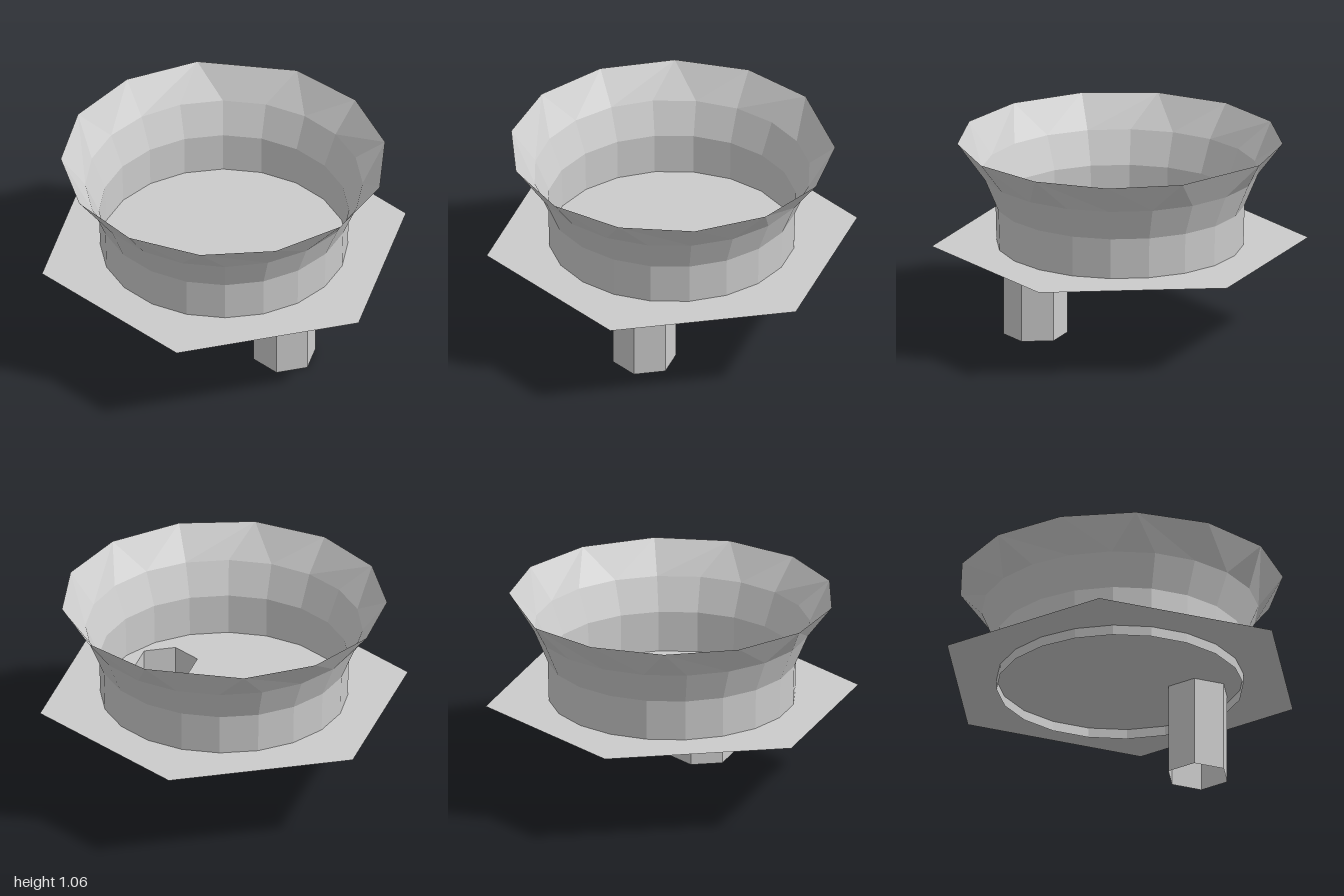
import * as THREE from 'three';

const STEP = Math.PI / 20; // 9 degrees, shared angular unit of all rings

// Regular hexagon outline with points along the second axis
function hexagon(radius, cy, Target) {
  const pts = [];
  for (let i = 0; i < 6; i++) {
    const a = (i * Math.PI) / 3;
    pts.push(new THREE.Vector2(radius * Math.sin(a), cy + radius * Math.cos(a)));
  }
  return new Target(pts);
}

// Band joining two rings with different vertex counts; each list of angle
// steps runs once round and repeats its first vertex at the end
function zipBand(lower, upper) {
  const at = (ring, i) => {
    const a = ring.steps[i] * STEP;
    return [ring.r * Math.sin(a), ring.y, ring.r * Math.cos(a)];
  };
  const pos = [];
  let i = 0, j = 0;
  const endI = lower.steps.length - 1, endJ = upper.steps.length - 1;
  while (i < endI || j < endJ) {
    const moveLower = j === endJ || (i < endI && lower.steps[i + 1] <= upper.steps[j + 1]);
    pos.push(...at(lower, i));
    if (moveLower) pos.push(...at(lower, ++i), ...at(upper, j));
    else pos.push(...at(upper, j + 1), ...at(upper, j++));
  }
  const g = new THREE.BufferGeometry();
  g.setAttribute('position', new THREE.Float32BufferAttribute(pos, 3));
  g.computeVertexNormals();
  return g;
}

export function createModel() {
  const group = new THREE.Group();
  const material = new THREE.MeshStandardMaterial({
    color: 0xcccccc, flatShading: true, side: THREE.DoubleSide,
  });
  const add = (name, geometry, parent = group) => {
    const mesh = new THREE.Mesh(geometry, material);
    mesh.name = name;
    parent.add(mesh);
    return mesh;
  };

  const plateY = 0.495, tubeR = 0.17, tubeZ = 0.45;

  // Thin hexagonal plate, pierced where the drain tube meets it
  const outline = hexagon(1, 0, THREE.Shape);
  outline.holes.push(hexagon(tubeR, tubeZ, THREE.Path));
  add('plate', new THREE.ShapeGeometry(outline).rotateX(Math.PI / 2)).position.y = plateY;

  // Open hexagonal tube hanging below the plate
  add('drainTube', new THREE.CylinderGeometry(tubeR, tubeR, plateY, 6, 1, true))
    .position.set(0, plateY / 2, tubeZ);

  // Bowl: twenty-sided wall with a flared thirteen-sided rim
  const bowl = new THREE.Group();
  bowl.name = 'bowl';
  group.add(bowl);
  const profile = [[0.655, 0.44], [0.662, 0.715], [0.735, 0.89]];
  add('bowlWall', new THREE.LatheGeometry(
    profile.map(([r, y]) => new THREE.Vector2(r, y)), 20, STEP), bowl);

  const wallSteps = Array.from({ length: 21 }, (_, i) => 2 * i + 1);
  const rimSteps = [0, 3, 6, 9, 12, 16, 19, 22, 25, 28, 31, 34, 37, 40];
  add('flaredRim', zipBand(
    { r: 0.735, y: 0.89, steps: wallSteps },
    { r: 0.865, y: 1.06, steps: rimSteps }), bowl);

  return group;
}
